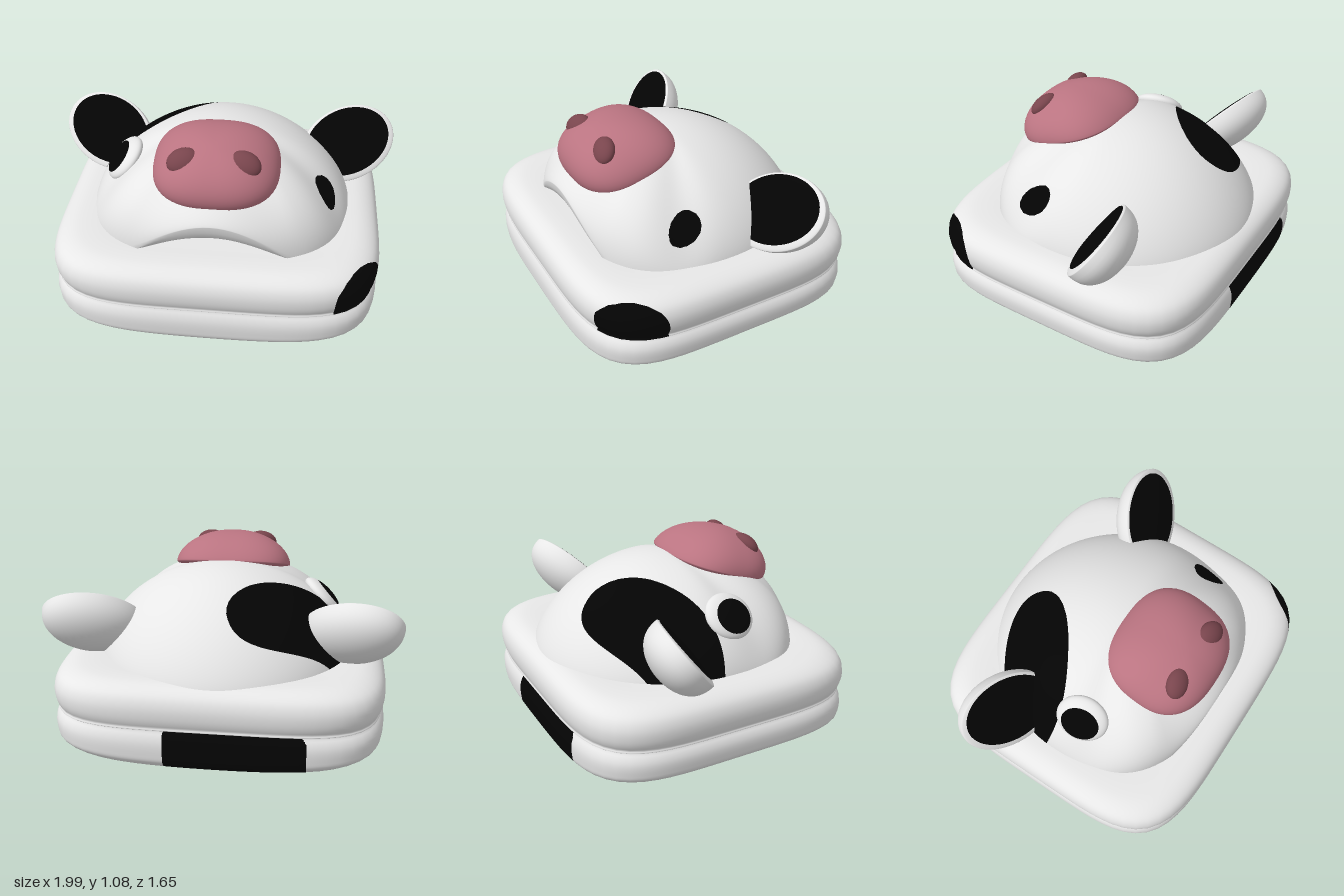
import * as THREE from 'three';
import { mergeVertices } from 'three/addons/utils/BufferGeometryUtils.js';

const mat = (name, color) => {
  const m = new THREE.MeshStandardMaterial({ color });
  m.name = name;
  return m;
};

// Closed skin through rings of points, listed from top to bottom.
function loft(rows, cols, point) {
  const pos = [], index = [];
  for (let i = 0; i < rows; i++)
    for (let j = 0; j < cols; j++) pos.push(...point(i, (j / cols) * Math.PI * 2));
  for (let i = 0; i < rows - 1; i++)
    for (let j = 0; j < cols; j++) {
      const k = (j + 1) % cols;
      const a = i * cols + j, b = a + cols, c = (i + 1) * cols + k, d = i * cols + k;
      index.push(a, b, c, a, c, d);
    }
  const g = new THREE.BufferGeometry();
  g.setAttribute('position', new THREE.Float32BufferAttribute(pos, 3));
  g.setIndex(index);
  const merged = mergeVertices(g);
  merged.computeVertexNormals();
  return merged;
}

// Radius of a rounded-square outline in direction t.
const outline = (t, a, b, n) =>
  (Math.abs(Math.sin(t) / a) ** n + Math.abs(Math.cos(t) / b) ** n) ** (-1 / n);

// Cuts the surface along field = 0; group 1 is the positive side (the patch).
function paint(geometry, field) {
  const g = geometry.toNonIndexed();
  const P = g.attributes.position, N = g.attributes.normal;
  const out = [[], []];
  for (let i = 0; i < P.count; i += 3) {
    const tri = [0, 1, 2].map((k) => {
      const p = new THREE.Vector3().fromBufferAttribute(P, i + k);
      return { p, n: new THREE.Vector3().fromBufferAttribute(N, i + k), v: field(p) };
    });
    [-1, 1].forEach((sign, side) => {
      const poly = [];
      tri.forEach((A, k) => {
        const B = tri[(k + 1) % 3];
        if (A.v * sign >= 0) poly.push(A);
        if (A.v * B.v < 0) {
          const f = A.v / (A.v - B.v);
          poly.push({ p: A.p.clone().lerp(B.p, f), n: A.n.clone().lerp(B.n, f).normalize() });
        }
      });
      for (let k = 1; k < poly.length - 1; k++) out[side].push(poly[0], poly[k], poly[k + 1]);
    });
  }
  const all = [...out[0], ...out[1]];
  const r = new THREE.BufferGeometry();
  r.setAttribute('position', new THREE.Float32BufferAttribute(all.flatMap((q) => q.p.toArray()), 3));
  r.setAttribute('normal', new THREE.Float32BufferAttribute(all.flatMap((q) => q.n.toArray()), 3));
  r.addGroup(0, out[0].length, 0);
  r.addGroup(out[0].length, out[1].length, 1);
  return r;
}

// Cushion from a side profile of [scale, height] points.
function pad(profile, lift) {
  const pts = new THREE.SplineCurve(profile.map((p) => new THREE.Vector2(...p))).getPoints(44);
  return loft(pts.length, 96, (i, t) => {
    const r = outline(t, 0.91, 0.82, 4.6) * pts[i].x;
    const x = r * Math.sin(t), y = pts[i].y;
    return [x, y + lift * (x / 0.9) ** 2 * Math.max(0, 1 - y / 0.28), r * Math.cos(t)];
  });
}

// Dome head whose front edge lifts into an arched upper lip.
function headGeometry() {
  const N = 30;
  const rows = [];
  for (let i = 0; i <= N; i++) rows.push([Math.sin((i / N) * Math.PI / 2), 1]);
  const under = [[0.99, 0.85], [0.96, 0.68], [0.9, 0.55], [0.8, 0.48], [0.66, 0]];
  return loft(N + 1 + under.length, 112, (i, t) => {
    const c = Math.cos(t), front = c > 0;
    const r = outline(t, 0.74, front ? 0.65 : 0.76, front ? 2.65 : 2);
    const x = r * Math.sin(t), z = r * c;
    const m = front ? Math.max(0, 1 - (x / 0.46) ** 2) ** 1.15 : 0;
    const [s, f] = i <= N ? rows[i] : under[i - N - 1];
    const edge = 0.46 + 0.26 * m * f;
    const cheek = 0.2 * Math.exp(-(((c - 0.35) / 0.2) ** 2));
    const p = 0.6 - 0.185 * c - 0.065 * c * c + 0.42 * m + cheek;
    const y = i <= N ? edge + (0.97 - edge) * Math.max(0, 1 - s * s) ** p : edge;
    return [x * s, y, z * s];
  });
}

// Squarish dome leaning forward, with a shallow rounded underside.
function snoutGeometry() {
  const R = 32;
  return loft(R + 1, 64, (i, t) => {
    const a = (i / R) * Math.PI, s = Math.sin(a), c = Math.cos(a), up = Math.max(0, c);
    const r = outline(t, 0.34, 0.297, 2.6) * s;
    return [r * Math.sin(t), c > 0 ? 0.205 * c ** 1.1 : 0.05 * c, r * Math.cos(t) + 0.05 * up];
  });
}

export function createModel() {
  const white = mat('white', 0xe9e9e9), black = mat('black', 0x040404);
  const pink = mat('pink', 0xba7481), darkPink = mat('dark pink', 0x79454d);
  const hide = [white, black];
  const model = new THREE.Group();
  const add = (name, geometry, material) => {
    const mesh = new THREE.Mesh(geometry, material);
    mesh.name = name;
    model.add(mesh);
    return mesh;
  };

  // Lower cushion: round patch underneath joined to a block on the back edge
  const lower = pad([[0, 0.3], [0.6, 0.3], [0.93, 0.29], [0.975, 0.265], [1, 0.21], [1, 0.14],
    [0.985, 0.09], [0.915, 0.045], [0.77, 0.015], [0.5, 0], [0, 0]], 0.05);
  add('lowerCushion', paint(lower, ({ x, y, z }) => {
    const disc = Math.min(0.625 - Math.hypot(x - 0.18, z + 0.28), z + 0.69, 0.12 - y);
    const block = Math.min(0.37 - Math.abs(x + 0.135), -0.66 - z, 0.285 - y);
    return Math.max(disc, block);
  }), hide);

  // Upper cushion with a patch on one front corner
  const upper = pad([[0, 0.5], [0.6, 0.505], [0.8, 0.51], [0.9, 0.5], [0.97, 0.465], [1, 0.41],
    [1, 0.345], [0.98, 0.295], [0.95, 0.275], [0.6, 0.27], [0, 0.27]], 0);
  add('upperCushion', paint(upper, ({ x, y, z }) => 1 - Math.abs((x - 0.88) / 0.22) ** 3
    - Math.abs((y - 0.3) / 0.2) ** 3 - Math.abs((z - 0.75) / 0.29) ** 3), hide);

  // Head with a large side patch and one painted eye spot
  add('head', paint(headGeometry(), ({ x, y, z }) => {
    const dx = x + 0.43, dz = z + 0.3;
    const u = Math.abs(dx * 0.86 - dz * 0.52) / 0.42, v = Math.abs(dx * 0.52 + dz * 0.86) / 0.195;
    const patch = 1 - u ** 2.3 - v ** 2.3;
    const ez = z - 0.215, ey = y - 0.675 + 0.3 * ez;
    const spot = x > 0 ? 1 - (ez / 0.097) ** 2 - (ey / 0.066) ** 2 : -1;
    return Math.max(patch, spot);
  }), hide);

  // Snout
  const snout = add('snout', snoutGeometry(), pink);
  snout.position.set(0, 0.88, 0.3);
  snout.rotation.x = 0.309;

  // Raised eye with pupil
  const ball = new THREE.SphereGeometry(1, 40, 28);
  const eye = add('eye', paint(ball, ({ x, y, z }) =>
    Math.min(z, 0.53 - x * x - (y + 0.13) ** 2)), hide);
  eye.scale.set(0.148, 0.135, 0.055);
  eye.position.set(-0.545, 0.755, 0.1);
  eye.lookAt(-0.545 - 0.7, 0.755 + 0.7, 0.1 + 0.15);

  // Ear: full rounded back, nearly flat front with a dark inside
  const ear = new THREE.SphereGeometry(1, 48, 32);
  const P = ear.attributes.position;
  for (let i = 0; i < P.count; i++) {
    const z = P.getZ(i);
    P.setZ(i, z > 0 ? z * 0.15 : -(Math.abs(z) ** 0.8));
  }
  const earShape = mergeVertices(ear.deleteAttribute('uv').deleteAttribute('normal'));
  earShape.computeVertexNormals();
  const earGeometry = paint(earShape, ({ x, y, z }) =>
    Math.min(z + 0.001, 0.8 - x * x - (y - 0.05) ** 2));

  for (const side of [-1, 1]) {
    const word = side > 0 ? 'left' : 'right';
    const e = add(word + 'Ear', earGeometry, hide);
    e.scale.set(0.29, 0.215, 0.185);
    e.position.set(side * 0.722, 0.7, -0.27);
    e.rotation.set(-0.66, side * 0.2, side * 0.38, 'YXZ');

    const nostril = add(word + 'Nostril', ball, darkPink);
    nostril.scale.set(0.088, 0.068, 0.05);
    nostril.position.set(side * 0.16, 0.99, 0.45);
    nostril.rotation.set(-0.75, 0, -side * 0.4);
  }
  return model;
}
